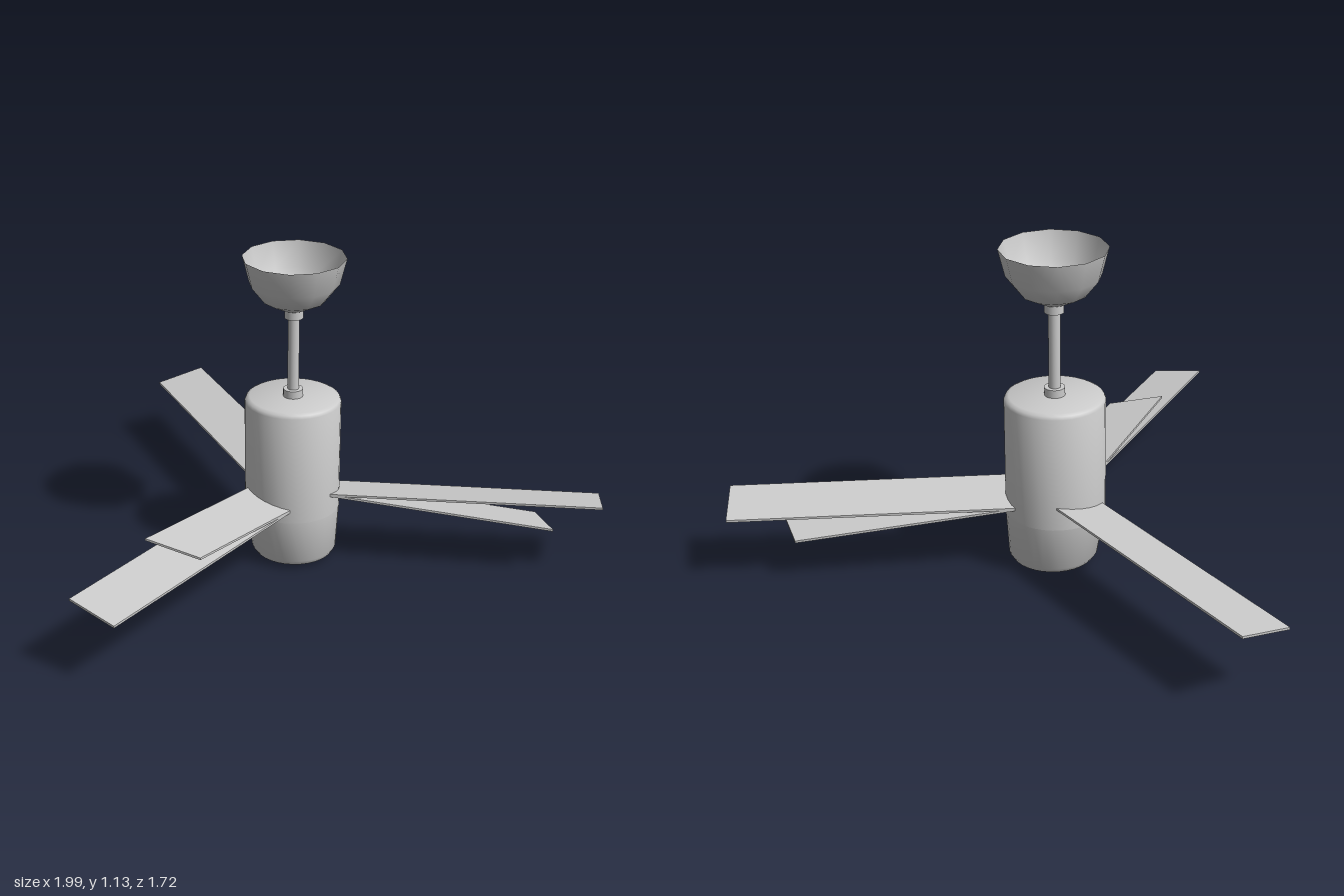
import * as THREE from 'three';
import { toCreasedNormals } from 'three/addons/utils/BufferGeometryUtils.js';

const grey = new THREE.MeshStandardMaterial({ color: 0xcccccc });
const greyThin = new THREE.MeshStandardMaterial({ color: 0xcccccc, side: THREE.DoubleSide });

function add(parent, name, geometry, material = grey) {
  const mesh = new THREE.Mesh(geometry, material);
  mesh.name = name;
  parent.add(mesh);
  return mesh;
}

// Turned part from [radius, height] pairs listed bottom to top
function turned(profile, sides = 32) {
  return new THREE.LatheGeometry(profile.map(([r, y]) => new THREE.Vector2(r, y)), sides);
}

function cylinder(radius, bottom, top) {
  return new THREE.CylinderGeometry(radius, radius, top - bottom, 20).translate(0, (top + bottom) / 2, 0);
}

// Thin pitched blade: -x edge high, +x edge low, rising by slope along its length
function bladeGeometry({ slope = 0, tipHigh = 1.095, tipLow = 1.095, lift = 0 }) {
  const root = 0.14, halfWidth = 0.092, thickness = 0.008;
  const geometry = new THREE.BoxGeometry(1, 1, 1);
  const p = geometry.attributes.position;
  for (let i = 0; i < p.count; i++) {
    const high = p.getX(i) < 0;
    const r = p.getZ(i) < 0 ? root : (high ? tipHigh : tipLow);
    const y = (high ? 0.28 : 0.245) + lift + slope * (r - root) + p.getY(i) * thickness;
    p.setXYZ(i, high ? -halfWidth : halfWidth, y, r);
  }
  geometry.computeVertexNormals();
  return geometry;
}

export function createModel() {
  const model = new THREE.Group();
  model.name = 'ceilingFan';
  const fan = new THREE.Group();
  fan.name = 'fan';
  fan.position.z = -0.235;
  model.add(fan);

  // Open ceiling bowl with coarse sides
  add(fan, 'ceilingCanopy', turned([[0.025, 0.943], [0.04, 0.945], [0.11, 0.98], [0.157, 1.04], [0.18, 1.133]], 12), greyThin);

  // Hanging rod with a collar at each end
  add(fan, 'downRod', cylinder(0.02, 0.6, 0.96));
  add(fan, 'upperCollar', cylinder(0.033, 0.913, 0.948));
  add(fan, 'lowerCollar', cylinder(0.035, 0.615, 0.648));

  // Motor housing with bevelled top
  add(fan, 'motorHousing', toCreasedNormals(
    turned([[0.17, 0.2], [0.17, 0.603], [0.165, 0.614], [0.153, 0.62], [0, 0.62]]), 0.7), greyThin);

  // Tapered lower housing, leaning slightly towards +x
  const lower = turned([[0, 0.022], [0.14, 0.022], [0.152, 0.04], [0.17, 0.2]]);
  const p = lower.attributes.position;
  for (let i = 0; i < p.count; i++) p.setX(i, p.getX(i) + 0.06 * (0.2 - p.getY(i)));
  add(fan, 'lowerHousing', toCreasedNormals(lower, 0.7), greyThin);

  // Tilted disc under the housing
  const disc = add(fan, 'bottomDisc', new THREE.CylinderGeometry(0.13, 0.122, 0.016, 32));
  disc.position.set(0.012, 0.025, 0);
  disc.rotation.z = 0.085;

  // Three main blades
  const third = (2 * Math.PI) / 3;
  for (let i = 0; i < 3; i++) {
    add(fan, 'blade', bladeGeometry({})).rotation.y = i * third;
  }

  // Two short blades with slanted tips: one rising at the front, one dropping at the back left
  add(fan, 'raisedShortBlade', bladeGeometry({ slope: 0.08, tipHigh: 0.715, tipLow: 0.655, lift: 0.003 }));
  add(fan, 'loweredShortBlade', bladeGeometry({ slope: -0.117, tipHigh: 0.93, tipLow: 0.875, lift: -0.002 }))
    .rotation.y = third;

  return model;
}
